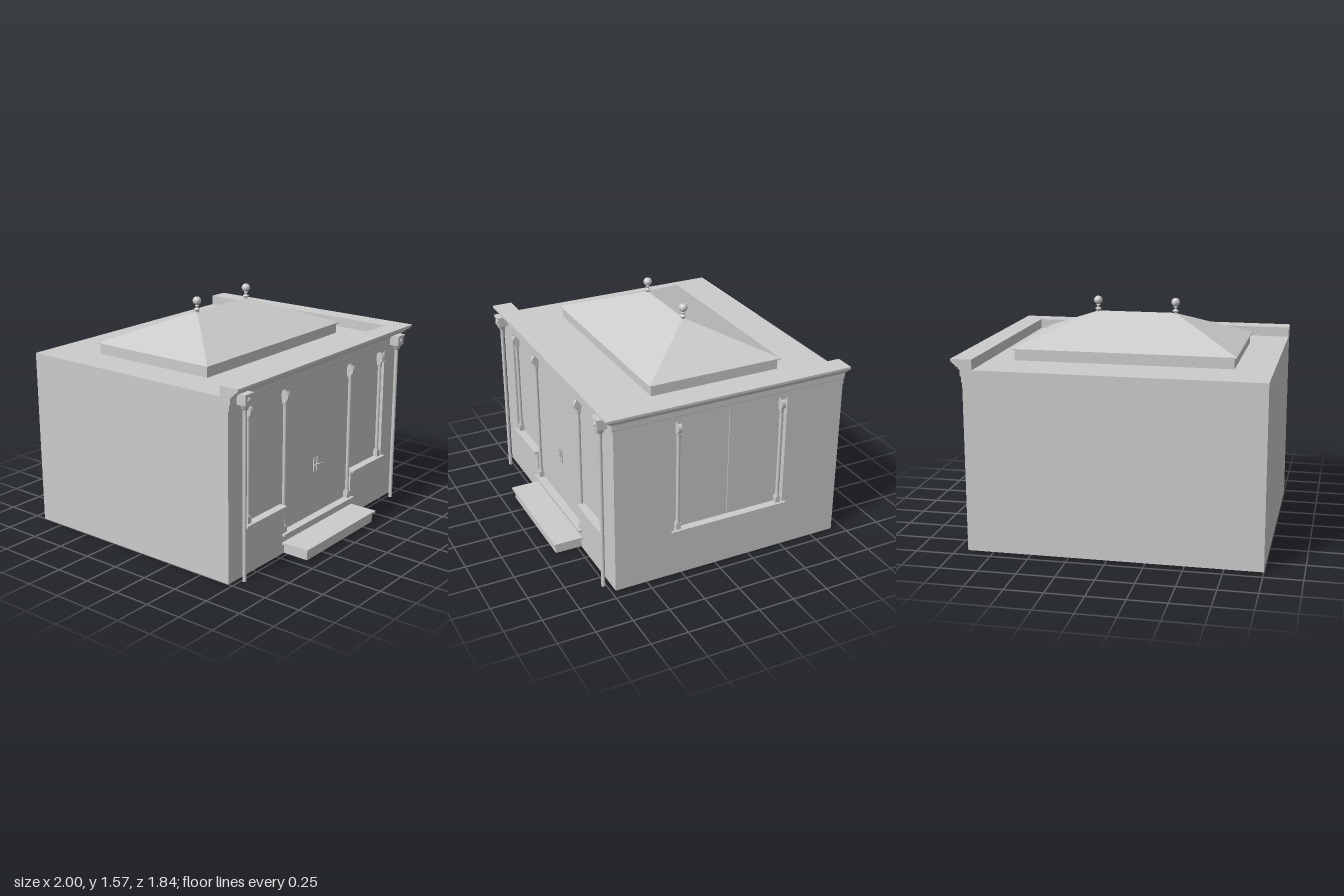
import * as THREE from 'three';
import { ConvexGeometry } from 'three/addons/geometries/ConvexGeometry.js';

const mat = new THREE.MeshStandardMaterial({ color: 0xcccccc });
const V = (x, y) => new THREE.Vector2(x, y);

function add(parent, name, geo, x = 0, y = 0, z = 0) {
  const m = new THREE.Mesh(geo, mat);
  m.name = name;
  m.position.set(x, y, z);
  parent.add(m);
  return m;
}

// Box given by its limits on each axis
function slab(parent, name, x0, x1, y0, y1, z0, z1) {
  return add(parent, name, new THREE.BoxGeometry(x1 - x0, y1 - y0, z1 - z0),
    (x0 + x1) / 2, (y0 + y1) / 2, (z0 + z1) / 2);
}

// Wall skin with an opening cut through it
function wallSkin(outline, hole, depth) {
  const s = new THREE.Shape(outline.map(p => V(...p)));
  s.holes.push(new THREE.Path(hole.map(p => V(...p))));
  return new THREE.ExtrudeGeometry(s, { depth, bevelEnabled: false });
}

// Slender post with a plinth, turned rings and a scroll bracket; faces +z
function windowPost(h, plinth) {
  const g = new THREE.Group();
  g.name = 'windowPost';
  slab(g, 'postPlinth', -0.017, 0.017, 0, plinth, -0.017, 0.017);
  const top = h - 0.1;
  const prof = [[0.016, plinth], [0.016, plinth + 0.012], [0.012, plinth + 0.02],
    [0.012, top - 0.02], [0.016, top - 0.012], [0.016, top]].map(p => V(...p));
  add(g, 'postShaft', new THREE.LatheGeometry(prof, 16));
  slab(g, 'postHead', -0.012, 0.012, top, h, -0.017, 0.012);
  slab(g, 'postAbacus', -0.018, 0.018, h - 0.014, h, -0.017, 0.019);
  const scroll = add(g, 'postScroll', new THREE.CylinderGeometry(0.027, 0.027, 0.026, 16), 0, h - 0.055, 0.003);
  scroll.rotation.z = Math.PI / 2;
  scroll.scale.x = 1.3;
  return g;
}

export function createModel() {
  const root = new THREE.Group();
  root.name = 'pavilion';
  const R = 0.035; // depth of the openings

  // Main body, with skins holding the recessed openings
  slab(root, 'body', -1, 0.925 - R, 0, 1.2, -0.92, 0.72 - R);
  add(root, 'frontWall', wallSkin(
    [[-1, 0], [0.925, 0], [0.925, 1.2], [-1, 1.2]],
    [[-0.82, 1.12], [-0.82, 0.335], [-0.42, 0.335], [-0.42, 0.14],
      [0.365, 0.14], [0.365, 0.335], [0.762, 0.335], [0.762, 1.12]], R), 0, 0, 0.72 - R);
  const side = wallSkin(
    [[R - 0.72, 0], [0.92, 0], [0.92, 1.2], [R - 0.72, 1.2]],
    [[-0.305, 1.12], [-0.305, 0.335], [0.5, 0.335], [0.5, 1.12]], R);
  side.rotateY(Math.PI / 2);
  add(root, 'sideWall', side, 0.925 - R);
  slab(root, 'sideWindowMullion', 0.885, 0.896, 0.335, 1.12, -0.1, -0.096);

  // Sills and entrance step
  slab(root, 'windowSill', -0.835, -0.42, 0.32, 0.335, 0.7, 0.742);
  slab(root, 'windowSill', 0.365, 0.78, 0.32, 0.335, 0.7, 0.742);
  slab(root, 'sideWindowSill', 0.9, 0.943, 0.32, 0.335, -0.52, 0.325);
  slab(root, 'doorSill', -0.44, 0.385, 0.125, 0.14, 0.7, 0.742);
  slab(root, 'stepBody', -0.42, 0.365, 0, 0.065, 0.71, 0.905);
  slab(root, 'stepTread', -0.44, 0.385, 0.065, 0.08, 0.71, 0.92);

  // Posts framing the windows and door
  for (const [x, y] of [[-0.787, 0.335], [0.728, 0.335], [-0.405, 0.14], [0.347, 0.14]]) {
    const p = windowPost(1.12 - y, 0.045);
    p.position.set(x, y, 0.704);
    root.add(p);
  }
  for (const z of [0.272, -0.47]) {
    const p = windowPost(0.785, 0.045);
    p.position.set(0.908, 0.335, z);
    p.rotation.y = Math.PI / 2;
    root.add(p);
  }

  // Pair of door handles
  for (const s of [-1, 1]) {
    const cx = -0.028 + s * 0.018, z = 0.72 - R;
    slab(root, 'handlePlate', cx - 0.003, cx + 0.003, 0.445, 0.545, z, z + 0.008);
    slab(root, 'handleStem', cx - 0.003, cx + 0.003, 0.492, 0.498, z, z + 0.026);
    const lever = new THREE.CatmullRomCurve3([[0, 0.495], [0.012, 0.498], [0.024, 0.494], [0.036, 0.496]]
      .map(([x, y]) => new THREE.Vector3(cx + s * x, y, z + 0.024)));
    add(root, 'handleLever', new THREE.TubeGeometry(lever, 10, 0.0035, 6));
  }

  // Moulded cornice along the front and side, mitred at the corner
  const profile = new THREE.Shape([[0, 1.12], [0.006, 1.12], [0.006, 1.155], [0.015, 1.162], [0.015, 1.2],
    [0.024, 1.206], [0.028, 1.218], [0.042, 1.222], [0.05, 1.236], [0.062, 1.24], [0.066, 1.25],
    [0.075, 1.253], [0.075, 1.268], [-0.065, 1.268], [-0.065, 1.2], [0, 1.2]].map(p => V(...p)));
  const cornice = (name, place) => {
    const geo = new THREE.ExtrudeGeometry(profile, { depth: 1, bevelEnabled: false });
    const p = geo.attributes.position;
    for (let i = 0; i < p.count; i++) p.setXYZ(i, ...place(p.getX(i), p.getY(i), p.getZ(i)));
    geo.computeVertexNormals();
    add(root, name, geo);
  };
  cornice('frontCornice', (o, y, t) => [-1 + (1 - t) * (1.925 + o), y, 0.72 + o]);
  cornice('sideCornice', (o, y, t) => [0.925 + o, y, -0.92 + t * (1.64 + o)]);

  // Tall free-standing columns with square capitals
  for (const x of [-0.903, 0.84]) {
    const col = new THREE.Group();
    col.name = 'column';
    col.position.set(x, 0, 0.769);
    add(col, 'columnShaft', new THREE.CylinderGeometry(0.013, 0.013, 1.13, 16), 0, 0.565);
    const neck = [[0.013, 1.115], [0.022, 1.12], [0.022, 1.13], [0.03, 1.14], [0.034, 1.155]].map(p => V(...p));
    add(col, 'columnNeck', new THREE.LatheGeometry(neck, 16));
    slab(col, 'capitalBlock', -0.036, 0.036, 1.15, 1.21, -0.035, 0.033);
    slab(col, 'capitalTop', -0.042, 0.042, 1.208, 1.222, -0.04, 0.039);
    const boss = add(col, 'capitalBoss', new THREE.SphereGeometry(0.017, 12, 8), 0, 1.182, 0.033);
    boss.scale.z = 0.45;
    root.add(col);
  }

  // Hipped roof on a low kerb
  slab(root, 'roofKerb', -0.75, 0.69, 1.19, 1.272, -0.56, 0.355);
  const pts = [];
  for (const y of [1.27, 1.277])
    for (const x of [-0.765, 0.705])
      for (const z of [-0.576, 0.37]) pts.push(new THREE.Vector3(x, y, z));
  for (const x of [-0.295, 0.235]) pts.push(new THREE.Vector3(x, 1.472, -0.104));
  add(root, 'hippedRoof', new ConvexGeometry(pts));

  // Ball finials at the ridge ends
  const finial = [[0.012, 1.455], [0.012, 1.475], [0.021, 1.483], [0.021, 1.489], [0.009, 1.495],
    [0.008, 1.503], [0.014, 1.508], [0.014, 1.513], [0.008, 1.52]].map(p => V(...p));
  for (const x of [-0.295, 0.235]) {
    add(root, 'finialStem', new THREE.LatheGeometry(finial, 16), x, 0, -0.104);
    add(root, 'finialBall', new THREE.SphereGeometry(0.029, 20, 14), x, 1.544, -0.104);
  }
  return root;
}
